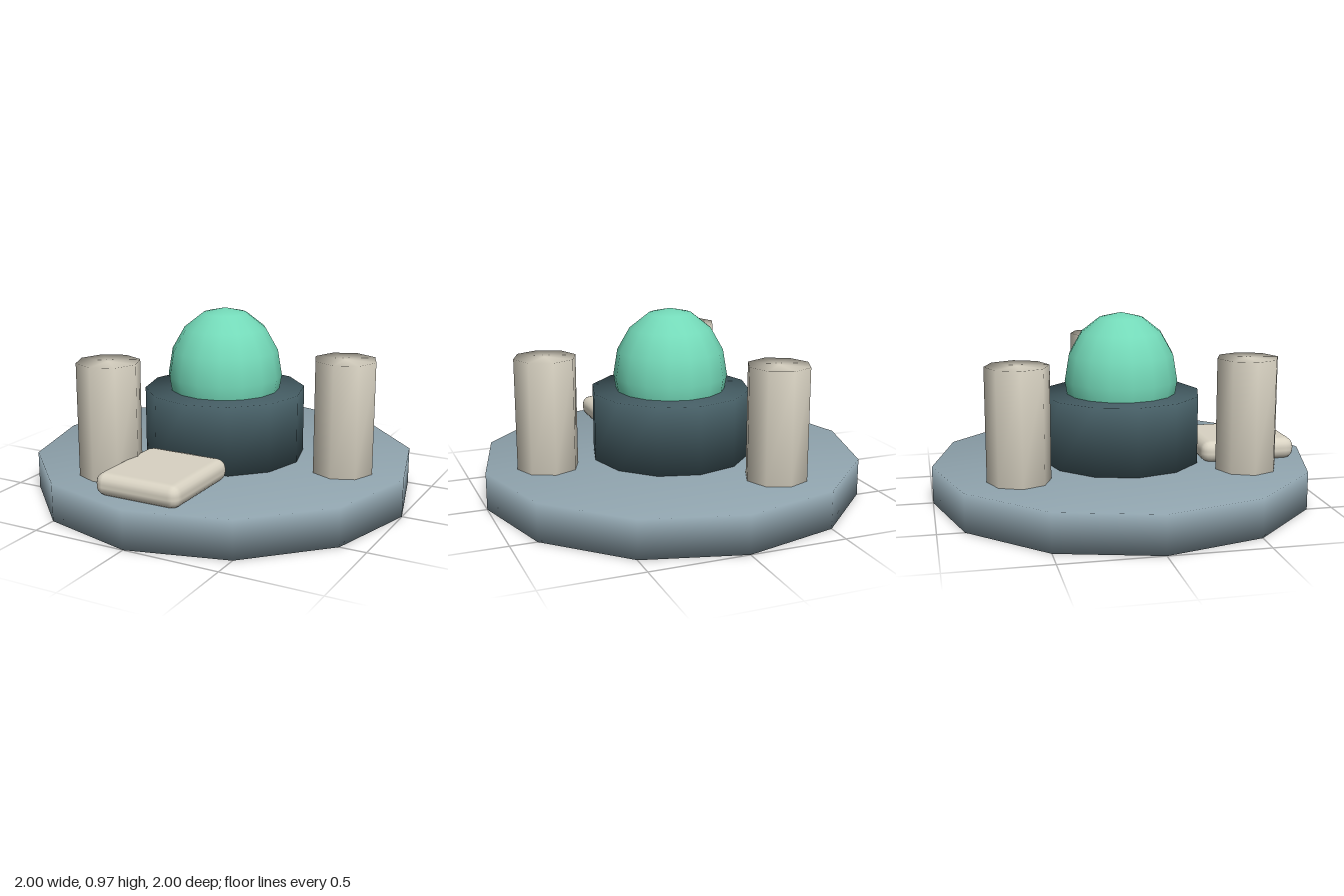
import * as THREE from 'three';
import { mergeVertices } from 'three/addons/utils/BufferGeometryUtils.js';
import { RoundedBoxGeometry } from 'three/addons/geometries/RoundedBoxGeometry.js';

const material = (name, color) => {
  const m = new THREE.MeshStandardMaterial({ color });
  m.name = name;
  return m;
};

// Weld the corners so that shading runs smoothly over the rims
function smooth(geometry) {
  geometry.deleteAttribute('normal');
  geometry.deleteAttribute('uv');
  const welded = mergeVertices(geometry, 1e-4);
  welded.clearGroups();
  welded.computeVertexNormals();
  return welded;
}

// Upright prism standing between two heights
function drum(radius, y0, y1, sides) {
  const g = new THREE.CylinderGeometry(radius, radius, y1 - y0, sides);
  g.translate(0, (y0 + y1) / 2, 0);
  return smooth(g);
}

export function createModel() {
  const model = new THREE.Group();
  model.name = 'domeShrine';

  const slate = material('slate grey', 0x90a4ae);
  const darkTeal = material('dark teal', 0x455d64);
  const mint = material('mint green', 0x74dab9);
  const stone = material('pale stone', 0xd9d3c3);

  const add = (name, geometry, mat) => {
    const mesh = new THREE.Mesh(geometry, mat);
    mesh.name = name;
    model.add(mesh);
    return mesh;
  };

  const floor = 0.195;

  // Twelve-sided platform and pedestal
  add('platform', drum(1, 0, floor, 12), slate);
  add('pedestal', drum(0.42, floor, 0.55, 12), darkTeal);

  // Stretched dome sunk into the pedestal
  const dome = add('dome', new THREE.SphereGeometry(0.3, 16, 8), mint);
  dome.scale.y = 1.18;
  dome.position.y = 0.62;

  // Three octagonal pillars in a ring
  for (let i = 0; i < 3; i++) {
    const a = (i * Math.PI * 2) / 3;
    const pillar = add('pillar' + (i + 1), drum(0.16, floor, 0.77, 8), stone);
    pillar.position.set(0.675 * Math.cos(a), 0, 0.675 * Math.sin(a));
  }

  // Rounded step at the front
  const step = add('frontStep', new RoundedBoxGeometry(0.46, 0.115, 0.51, 2, 0.05), stone);
  step.position.set(0, 0.247, 0.645);

  return model;
}
